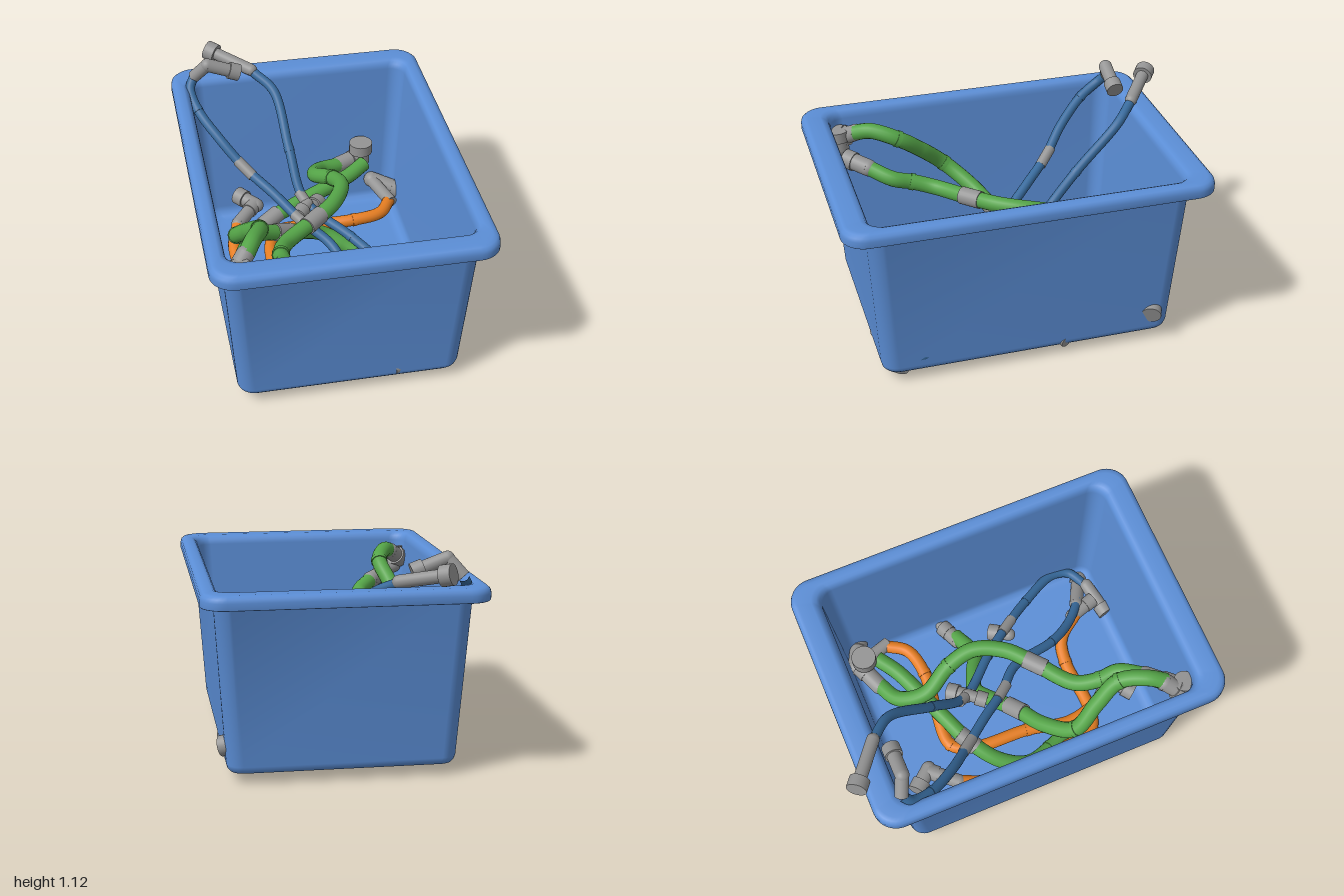
import * as THREE from 'three';

const mat = (name, color) => {
  const m = new THREE.MeshStandardMaterial({ color });
  m.name = name;
  return m;
};
const V = (p) => new THREE.Vector3(...p);

// Points of a rounded rectangle at height y
function ring(w, d, r, y) {
  const pts = [], steps = 8;
  [[1, 1], [-1, 1], [-1, -1], [1, -1]].forEach(([sx, sz], q) => {
    for (let i = 0; i <= steps; i++) {
      const a = (q + i / steps) * Math.PI / 2;
      pts.push([sx * (w - r) + r * Math.cos(a), y, sz * (d - r) + r * Math.sin(a)]);
    }
  });
  return pts;
}

// Skin over a stack of rounded rectangles
function loft(rows) {
  const rings = rows.map((row) => ring(...row));
  const n = rings[0].length, index = [];
  for (let i = 0; i < rings.length - 1; i++) {
    for (let j = 0; j < n; j++) {
      const k = (j + 1) % n;
      const a = i * n + j, b = i * n + k, c = a + n, d = b + n;
      index.push(a, c, b, b, c, d);
    }
  }
  const g = new THREE.BufferGeometry();
  g.setAttribute('position', new THREE.Float32BufferAttribute(rings.flat(2), 3));
  g.setIndex(index);
  g.computeVertexNormals();
  return g;
}

export function createModel() {
  const model = new THREE.Group();
  model.name = 'hoseBin';
  const binBlue = mat('bin blue', 0x5b8ed6);
  const green = mat('hose green', 0x55a548);
  const orange = mat('hose orange', 0xe67e22);
  const navy = mat('hose blue', 0x376a9c);
  const grey = mat('fitting grey', 0x949494);

  const add = (name, geometry, material, parent = model) => {
    const mesh = new THREE.Mesh(geometry, material);
    mesh.name = name;
    parent.add(mesh);
    return mesh;
  };

  // Straight round piece between two points
  const rod = (name, a, b, r, material, parent) => {
    const from = V(a), to = V(b), dir = to.clone().sub(from);
    const mesh = add(name, new THREE.CylinderGeometry(r, r, dir.length(), 24), material, parent);
    mesh.position.copy(from).add(to).multiplyScalar(0.5);
    mesh.quaternion.setFromUnitVectors(new THREE.Vector3(0, 1, 0), dir.normalize());
  };

  // Hose along a smooth path of [x, z, height] points, with grey sleeves and joint bands at some of them
  const hose = (name, pts, r, material, sleeves, joints) => {
    const group = new THREE.Group();
    group.name = name;
    model.add(group);
    const path = pts.map(([x, z, y]) => new THREE.Vector3(x, y, z));
    const curve = new THREE.CatmullRomCurve3(path);
    add(name + 'Tube', new THREE.TubeGeometry(curve, 100, r, 16), material, group);
    const piece = (label, i, half, radius, m) => {
      const t = curve.getTangent(i / (pts.length - 1)).multiplyScalar(half);
      rod(label, path[i].clone().sub(t).toArray(), path[i].clone().add(t).toArray(), radius, m, group);
    };
    sleeves.forEach((i) => piece('sleeve', i, 0.06, r * 1.12, grey));
    joints.forEach((i) => piece('jointBand', i, 0.012, r * 1.08, material));
  };

  // End fitting: a stem with a wider cap on its far end
  const fitting = (name, a, b, r, capR = r * 1.25, capLen = 0.06) => {
    const group = new THREE.Group();
    group.name = name;
    model.add(group);
    const end = V(b), start = V(a);
    const back = start.clone().sub(end).normalize().multiplyScalar(capLen).add(end);
    rod('stem', a, b, r, grey, group);
    rod('cap', back.toArray(), b, capR, grey, group);
    add('elbow', new THREE.SphereGeometry(r, 20, 12), grey, group).position.copy(start);
  };

  // Bin: outside, thin folded rim, then inside, as one skin
  const bin = add('bin', loft([
    [0, 0, 0, 0.05], [0.53, 0.723, 0.05, 0.05], [0.552, 0.745, 0.07, 0.056],
    [0.564, 0.757, 0.08, 0.07], [0.57, 0.763, 0.08, 0.092], [0.628, 0.818, 0.08, 0.95],
    [0.672, 0.916, 0.1, 0.95], [0.684, 0.928, 0.11, 0.935], [0.685, 0.929, 0.11, 0.902],
    [0.688, 0.932, 0.115, 0.9], [0.692, 0.936, 0.12, 0.903],
    [0.692, 0.936, 0.12, 0.935], [0.687, 0.931, 0.115, 0.953], [0.674, 0.918, 0.105, 0.965],
    [0.658, 0.902, 0.1, 0.969], [0.632, 0.835, 0.09, 0.969], [0.616, 0.812, 0.085, 0.962],
    [0.605, 0.798, 0.08, 0.945], [0.6, 0.79, 0.08, 0.92], [0.548, 0.74, 0.07, 0.13],
    [0.538, 0.73, 0.07, 0.1], [0.515, 0.707, 0.06, 0.08], [0.48, 0.672, 0.05, 0.075],
    [0, 0, 0, 0.075],
  ]), binBlue);
  bin.rotation.y = -0.047;
  bin.position.z = 0.0375;

  // Green hoses
  hose('greenHoseLow', [
    [0.43, -0.07, 0.11], [0.27, -0.03, 0.17], [0.14, -0.09, 0.24], [0.03, -0.13, 0.3],
    [-0.08, -0.08, 0.37], [-0.21, 0, 0.45], [-0.37, 0.08, 0.53], [-0.49, 0.2, 0.63],
    [-0.45, 0.34, 0.76], [-0.42, 0.47, 0.86], [-0.48, 0.6, 0.9], [-0.53, 0.68, 0.88],
  ], 0.042, green, [5], [7, 9]);
  hose('greenHoseLeft', [
    [0.38, -0.55, 0.42], [0.27, -0.48, 0.4], [0.12, -0.42, 0.38], [-0.07, -0.35, 0.35],
    [-0.22, -0.29, 0.32], [-0.37, -0.18, 0.26], [-0.44, -0.04, 0.2], [-0.4, 0.12, 0.13],
    [-0.34, 0.25, 0.09],
  ], 0.042, green, [4], [7]);
  hose('greenHoseTop', [
    [0.25, -0.6, 0.4], [0.12, -0.54, 0.43], [0.06, -0.4, 0.5], [0.12, -0.24, 0.58],
    [0.13, -0.09, 0.63], [0.05, 0.06, 0.64], [-0.08, 0.17, 0.63], [-0.26, 0.31, 0.62],
    [-0.31, 0.43, 0.65], [-0.32, 0.53, 0.68], [-0.41, 0.64, 0.72],
  ], 0.042, green, [6], [3, 8]);

  // Orange hoses
  hose('orangeHoseBack', [
    [0.51, -0.46, 0.2], [0.43, -0.36, 0.2], [0.27, -0.33, 0.2], [0.05, -0.36, 0.18],
    [-0.16, -0.37, 0.17], [-0.23, -0.25, 0.17], [-0.26, 0.05, 0.16], [-0.31, 0.28, 0.14],
    [-0.28, 0.47, 0.13],
  ], 0.034, orange, [], [2, 4, 6]);
  hose('orangeHoseFront', [
    [-0.38, -0.42, 0.22], [-0.43, -0.28, 0.18], [-0.42, 0, 0.13], [-0.42, 0.28, 0.11],
    [-0.38, 0.39, 0.09], [-0.26, 0.43, 0.082], [0.03, 0.43, 0.082], [0.16, 0.47, 0.1],
    [0.25, 0.6, 0.13],
  ], 0.034, orange, [], [3, 6]);

  // Blue hoses
  hose('blueHoseLeft', [
    [-0.53, -0.77, 1.0], [-0.56, -0.73, 0.95], [-0.54, -0.62, 0.88], [-0.45, -0.47, 0.77],
    [-0.34, -0.34, 0.65], [-0.22, -0.19, 0.57], [-0.1, -0.03, 0.48], [0.03, 0.11, 0.4],
    [0.11, 0.38, 0.28], [0.2, 0.53, 0.2], [0.32, 0.65, 0.14],
  ], 0.026, navy, [4, 6], [2, 8]);
  hose('blueHoseRight', [
    [-0.2, -0.77, 0.98], [-0.11, -0.66, 0.91], [-0.08, -0.42, 0.68], [-0.04, -0.22, 0.47],
    [0.16, 0.01, 0.36], [0.3, 0.19, 0.28], [0.42, 0.37, 0.2], [0.52, 0.58, 0.14],
    [0.5, 0.68, 0.12], [0.38, 0.74, 0.12],
  ], 0.026, navy, [3, 5], [2, 4, 6]);

  // Fittings above the rim
  fitting('rimFittingRight', [-0.21, 0.99, -0.78], [-0.425, 1.05, -0.955], 0.033, 0.052);
  fitting('rimFittingLeft', [-0.46, 1.085, -0.73], [-0.29, 1.02, -0.72], 0.036, 0.046);
  rod('rimElbow', [-0.53, 1.0, -0.77], [-0.46, 1.085, -0.73], 0.034, grey);

  // Fittings in the front left corner
  fitting('cornerFittingHigh', [-0.53, 0.88, 0.67], [-0.61, 0.82, 0.75], 0.045, 0.055);
  fitting('cornerFittingUp', [-0.57, 0.78, 0.75], [-0.57, 0.89, 0.76], 0.045, 0.055);
  fitting('cornerFittingLow', [-0.41, 0.72, 0.64], [-0.52, 0.74, 0.74], 0.046, 0.052);

  // Fittings in the back right corner
  fitting('backFittingUp', [0.38, 0.4, -0.62], [0.38, 0.52, -0.62], 0.05, 0.065);
  fitting('backFittingSide', [0.24, 0.4, -0.6], [0.38, 0.41, -0.65], 0.046, 0.05);
  rod('backFittingStem', [0.46, 0.22, -0.65], [0.52, 0.2, -0.44], 0.036, grey);
  fitting('backWallFitting', [0.46, 0.22, -0.66], [0.62, 0.17, -0.58], 0.045, 0.052);

  // Fittings on the floor
  fitting('sideFitting', [0.4, 0.11, -0.07], [0.52, 0.085, -0.11], 0.043, 0.045);
  rod('sideFittingTip', [0.52, 0.08, -0.11], [0.57, 0.07, -0.13], 0.03, grey);
  fitting('frontFittingOrange', [0.25, 0.13, 0.58], [0.29, 0.13, 0.73], 0.038, 0.042);
  fitting('frontFittingCross', [0.39, 0.12, 0.74], [0.19, 0.1, 0.77], 0.036, 0.046);
  fitting('frontFittingDown', [0.3, 0.14, 0.63], [0.48, 0.045, 0.74], 0.038, 0.05);
  fitting('floorFittingLeft', [-0.28, 0.13, 0.47], [-0.18, 0.12, 0.6], 0.038, 0.042);
  fitting('floorFittingLeftEnd', [-0.18, 0.12, 0.6], [-0.3, 0.1, 0.69], 0.04, 0.05);
  fitting('orangeFittingBack', [-0.38, 0.22, -0.42], [-0.26, 0.24, -0.55], 0.038, 0.044);
  fitting('orangeFittingBackEnd', [-0.25, 0.24, -0.54], [-0.34, 0.25, -0.65], 0.04, 0.05);
  fitting('middleFitting', [0.27, 0.22, 0.19], [0.34, 0.2, 0.1], 0.035, 0.045);
  fitting('middleBackFitting', [-0.02, 0.42, -0.2], [0.05, 0.4, -0.28], 0.04, 0.05);
  fitting('branchFitting', [-0.03, 0.46, -0.2], [-0.1, 0.45, -0.12], 0.032, 0.042);
  return model;
}
